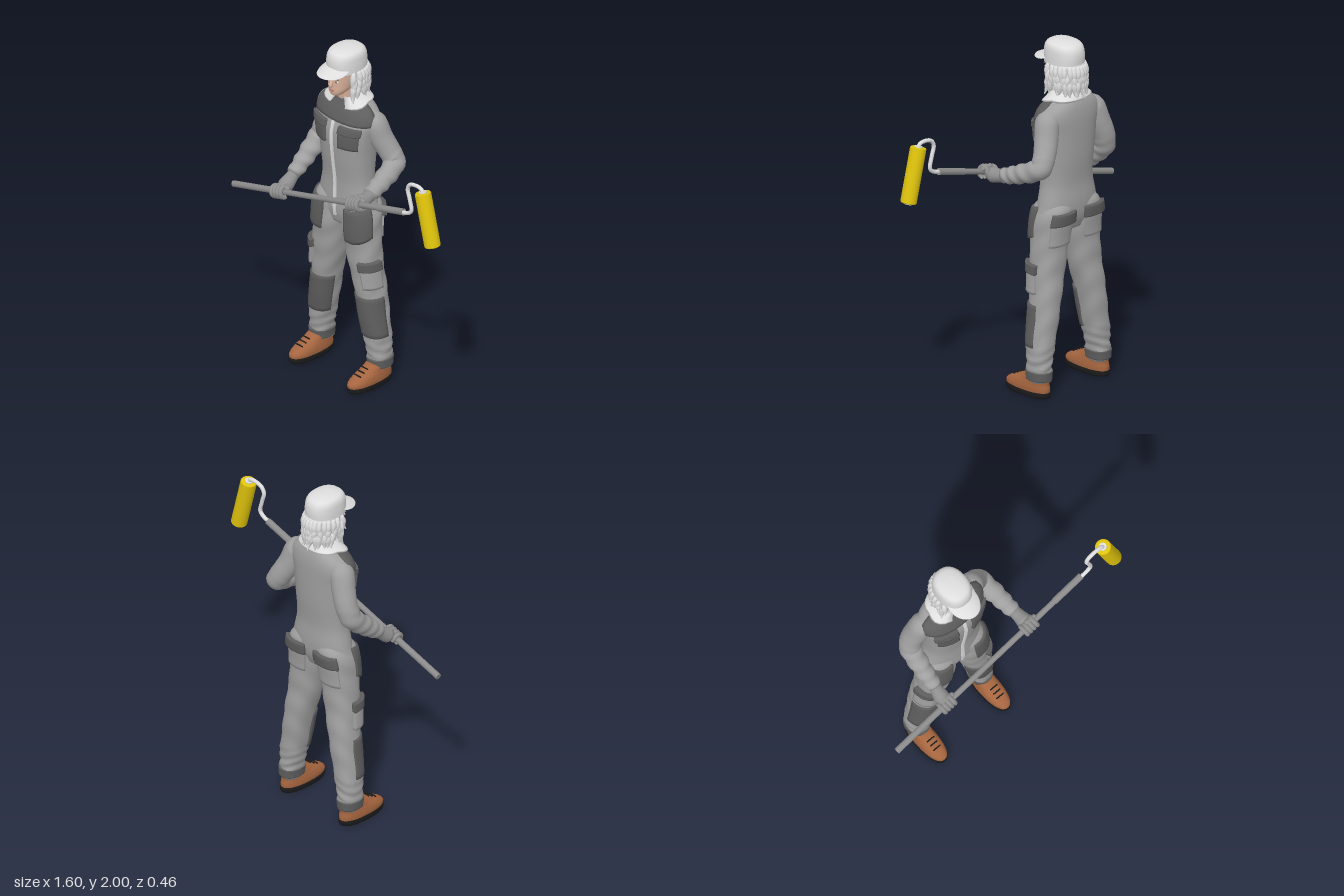
import * as THREE from 'three';
import { mergeVertices } from 'three/addons/utils/BufferGeometryUtils.js';

const C = -0.18; // centre line of the worker
const TAU = Math.PI * 2, F = Math.PI / 2; // F = angle of the front
const std = (name, color) => Object.assign(new THREE.MeshStandardMaterial({ color, side: THREE.DoubleSide }), { name });
const M = {
  suit: std('suit grey', 0xa0a0a0), panel: std('panel dark grey', 0x5e5e5e), white: std('white', 0xdedede),
  skin: std('skin', 0xd9b09a), boot: std('boot leather', 0xa5653f), sole: std('sole black', 0x1b1b1b),
  pole: std('pole grey', 0x8a8a8a), yellow: std('roller yellow', 0xe0c40c), glove: std('glove grey', 0x8e8e8e),
  lip: std('lips', 0xb67a6c),
};

export function createModel() {
  const model = new THREE.Group();
  model.name = 'painter';
  const add = (name, geo, mat, parent = model) => {
    const m = new THREE.Mesh(geo, mat);
    m.name = name;
    parent.add(m);
    return m;
  };
  const clamp = (v) => Math.min(1, Math.max(0, v));

  // Smooth grid surface from a point rule
  function grid(nu, nv, fn, flip) {
    const pos = [], idx = [];
    for (let j = 0; j <= nv; j++) for (let i = 0; i <= nu; i++) pos.push(...fn(i, j));
    for (let j = 0; j < nv; j++) for (let i = 0; i < nu; i++) {
      const a = j * (nu + 1) + i, b = a + nu + 1, c = a + 1, d = b + 1;
      idx.push(...(flip ? [a, c, b, c, d, b] : [a, b, c, c, b, d]));
    }
    const g = new THREE.BufferGeometry();
    g.setAttribute('position', new THREE.Float32BufferAttribute(pos, 3));
    g.setIndex(idx);
    const out = mergeVertices(g, 1e-5);
    out.computeVertexNormals();
    return out;
  }

  // Cross-section at height y from rows of [y, x offset, z, rx, rz]
  function section(rows, y) {
    let i = 1;
    while (i < rows.length - 1 && y > rows[i][0]) i++;
    const p = rows[i - 1], q = rows[i], o = rows[Math.max(0, i - 2)], r = rows[Math.min(rows.length - 1, i + 1)];
    const h = q[0] - p[0], t = (y - p[0]) / h, t2 = t * t, t3 = t2 * t;
    return [1, 2, 3, 4].map((k) => p[k] * (2 * t3 - 3 * t2 + 1) + q[k] * (3 * t2 - 2 * t3)
      + h * (t3 - 2 * t2 + t) * (q[k] - o[k]) / (q[0] - o[0]) + h * (t3 - t2) * (r[k] - p[k]) / (r[0] - p[0]));
  }
  function point(rows, y, a, off, s, k = 1) {
    const [cx, cz, rx, rz] = section(rows, y), c = Math.cos(a), n = Math.sin(a);
    const e = (v) => Math.sign(v) * Math.abs(v) ** 0.87;
    return [C + s * (cx + k * (rx + off) * e(c)), y, cz + k * (rz + off) * e(n)];
  }
  // Closed body lofted through the rows
  function loft(rows, s = 1, wrinkle = () => 0, nv = 44) {
    const y0 = rows[0][0], y1 = rows[rows.length - 1][0];
    return grid(36, nv, (i, j) => {
      const y = y0 + (y1 - y0) * clamp((j - 1) / (nv - 2)), a = (i % 36) / 36 * TAU;
      return point(rows, y, a, wrinkle(y, a), s, j === 0 || j === nv ? 0 : 1);
    }, s < 0);
  }
  // Raised panel that follows a lofted body; y limits may depend on the angle
  function patch(rows, a0, a1, lo, hi, off, s = 1, lift = 0) {
    const nu = 24, nv = 12, f = (v, a) => (typeof v === 'function' ? v(a) : v);
    return grid(nu, nv, (i, j) => {
      const a = a0 + (a1 - a0) * clamp((i - 1) / (nu - 2));
      const y = f(lo, a) + (f(hi, a) - f(lo, a)) * clamp((j - 1) / (nv - 2));
      const o = i === 0 || j === 0 || i === nu || j === nv ? -0.006 : off;
      const p = point(rows, y, a, o, s);
      p[1] += o * lift;
      return p;
    }, s < 0);
  }
  // Limb with changing radius through [x, y, z, r]
  function limb(pts, nu = 20, nv = 30, wrinkle = () => 0) {
    const curve = new THREE.CatmullRomCurve3(pts.map((p) => new THREE.Vector3(p[0], p[1], p[2])));
    const n = pts.length - 1;
    return grid(nu, nv, (i, j) => {
      const t = clamp((j - 1) / (nv - 2)), k = Math.min(n - 1, Math.floor(t * n)), a = (i % nu) / nu * TAU;
      const r = j === 0 || j === nv ? 0 : THREE.MathUtils.lerp(pts[k][3], pts[k + 1][3], t * n - k) + wrinkle(t, a);
      const T = curve.getTangent(t), N = new THREE.Vector3(1, 0, 0).addScaledVector(T, -T.x).normalize();
      const B = N.clone().cross(T);
      return curve.getPoint(t).addScaledVector(N, r * Math.cos(a)).addScaledVector(B, r * Math.sin(a)).toArray();
    });
  }
  const blob = (name, mat, x, y, z, sx, sy, sz) => {
    const m = add(name, new THREE.SphereGeometry(1, 20, 14), mat);
    m.position.set(C + x, y, z);
    m.scale.set(sx, sy, sz);
    return m;
  };

  // Torso with yoke, zip, collar and chest pockets
  const torso = [[0.93, 0, -0.075, 0.13, 0.08], [1.0, 0, -0.08, 0.2, 0.1], [1.08, 0, -0.085, 0.19, 0.103], [1.2, 0, -0.083, 0.166, 0.1],
    [1.35, 0, -0.08, 0.172, 0.115], [1.5, 0, -0.078, 0.19, 0.122], [1.58, 0, -0.088, 0.203, 0.112], [1.63, 0, -0.095, 0.185, 0.1],
    [1.66, 0, -0.1, 0.145, 0.088], [1.69, 0, -0.1, 0.095, 0.075], [1.72, 0, -0.095, 0.062, 0.06]];
  add('torso', loft(torso, 1, undefined, 60), M.suit);
  add('yoke', patch(torso, 0.02, Math.PI - 0.02, 1.57, 1.7, 0.008, 1, 0.6), M.panel);
  add('zip', patch(torso, F - 0.03, F + 0.03, 0.98, 1.63, 0.009), M.white);
  const front = (a) => Math.max(0, Math.sin(a));
  add('collar', patch(torso, F + 0.3, F + TAU - 0.3, (a) => 1.675 - 0.03 * front(a), (a) => 1.722 - 0.02 * front(a), 0.017, 1, 0.7), M.white);
  for (const s of [1, -1]) {
    add('chestPocket', patch(torso, 0.62, 1.36, 1.43, 1.55, 0.014, s), M.panel);
    add('chestPocketFlap', patch(torso, 0.6, 1.38, 1.52, 1.56, 0.02, s), M.panel);
  }

  // Legs, pockets, knee patches, cuffs and boots
  const leg = [[0.09, 0.226, -0.1, 0.054, 0.068], [0.14, 0.225, -0.1, 0.057, 0.07], [0.2, 0.22, -0.098, 0.063, 0.074], [0.3, 0.207, -0.095, 0.072, 0.078],
    [0.4, 0.19, -0.092, 0.074, 0.085], [0.53, 0.17, -0.09, 0.079, 0.088], [0.7, 0.139, -0.078, 0.093, 0.09], [0.8, 0.126, -0.074, 0.098, 0.096],
    [0.9, 0.114, -0.072, 0.104, 0.103], [1.0, 0.106, -0.08, 0.106, 0.108], [1.06, 0.1, -0.085, 0.094, 0.104], [1.1, 0.09, -0.085, 0.075, 0.08]];
  const crease = (y, a) => 0.004 * Math.sin(y * 110 + 3 * Math.cos(a)) * clamp((0.32 - y) * 8) + 0.002 * Math.sin(y * 40 + 4 * Math.sin(a));
  const boot = [[0.02, 0.226, -0.02, 0.057, 0.15], [0.05, 0.226, -0.02, 0.059, 0.15], [0.075, 0.226, -0.035, 0.056, 0.13],
    [0.095, 0.226, -0.06, 0.052, 0.105], [0.12, 0.226, -0.085, 0.05, 0.078], [0.14, 0.226, -0.095, 0.046, 0.062]];
  const sole = [[0, 0.226, -0.02, 0.057, 0.148], [0.012, 0.226, -0.02, 0.061, 0.155], [0.032, 0.226, -0.02, 0.061, 0.155]];
  for (const s of [1, -1]) {
    add('trouserLeg', loft(leg, s, crease, 70), M.suit);
    add('hipPocket', patch(leg, 0.2, 1.75, (a) => 0.91 - 0.05 * Math.sin(a), (a) => 1.08 - 0.03 * front(a), 0.012, s), M.panel);
    add('cargoPocket', patch(leg, -0.05, 1.15, 0.59, 0.72, 0.018, s), M.suit);
    add('cargoFlap', patch(leg, -0.1, 1.2, 0.7, 0.75, 0.025, s), M.panel);
    add('kneePatch', patch(leg, -0.1, Math.PI - 0.2, 0.29, 0.525, 0.007, s), M.panel);
    add('backPocket', patch(leg, -2.1, -0.75, 0.86, 1.0, 0.008, s), M.suit);
    add('backPocketFlap', patch(leg, -2.15, -0.7, 0.985, 1.05, 0.022, s), M.panel);
    add('cuff', patch(leg, 0, TAU, 0.1, 0.15, 0.007, s), M.panel);
    add('boot', loft(boot, s), M.boot);
    add('sole', loft(sole, s, undefined, 10), M.sole);
    for (let i = 0; i < 3; i++) {
      const lace = add('lace', new THREE.CapsuleGeometry(0.004, 0.045, 4, 8).rotateZ(F), M.sole);
      lace.position.set(C + s * 0.226, 0.088 + i * 0.014, 0.068 - i * 0.026);
    }
  }

  // Sleeves
  const fold = (t, a) => 0.004 * Math.sin(t * 55 + 2 * Math.sin(a)) * clamp((t - 0.4) * 4);
  add('leftSleeve', limb([[-0.05, 1.61, -0.1, 0.045], [-0.01, 1.575, -0.11, 0.068], [0.02, 1.49, -0.13, 0.066], [0.06, 1.41, -0.155, 0.062], [0.095, 1.35, -0.16, 0.06],
    [0.12, 1.305, -0.07, 0.055], [0.133, 1.275, 0.01, 0.048], [0.142, 1.255, 0.075, 0.04]], 20, 48, fold), M.suit);
  add('rightSleeve', limb([[-0.31, 1.61, -0.1, 0.045], [-0.35, 1.575, -0.11, 0.068], [-0.38, 1.49, -0.125, 0.066], [-0.41, 1.41, -0.135, 0.062], [-0.432, 1.33, -0.12, 0.06],
    [-0.437, 1.26, -0.05, 0.055], [-0.438, 1.2, 0.02, 0.048], [-0.437, 1.15, 0.085, 0.039]], 20, 48, fold), M.suit);
  add('leftPalm', limb([[0.14, 1.26, 0.05, 0.032], [0.147, 1.25, 0.1, 0.037], [0.15, 1.245, 0.14, 0.044], [0.15, 1.245, 0.17, 0.034]]), M.glove);
  add('rightPalm', limb([[-0.437, 1.17, 0.06, 0.03], [-0.437, 1.135, 0.1, 0.036], [-0.438, 1.105, 0.14, 0.044], [-0.438, 1.09, 0.17, 0.034]]), M.glove);

  // Long pole with gripping fingers, running along its own x
  const pole = new THREE.Group();
  pole.name = 'pole';
  pole.position.set(-0.795, 0.98, 0.185);
  pole.rotation.z = Math.atan2(0.378, 1.32);
  model.add(pole);
  const L = 1.373;
  add('poleShaft', new THREE.CylinderGeometry(0.016, 0.016, L, 20).rotateZ(F).translate(L / 2, 0, 0), M.pole, pole);
  add('poleGrip', new THREE.CylinderGeometry(0.018, 0.018, 0.34, 20).rotateZ(F).translate(0.17, 0, 0), M.pole, pole);
  add('poleSocket', new THREE.CylinderGeometry(0.019, 0.019, 0.2, 20).rotateZ(F).translate(L - 0.1, 0, 0), M.pole, pole);
  for (const at of [0.372, 0.983]) {
    for (let i = 0; i < 4; i++) add('finger', new THREE.TorusGeometry(0.029, 0.0135, 10, 24, 4.7).rotateY(F).translate(at + (i - 1.5) * 0.024, 0, 0), M.glove, pole);
    add('thumb', new THREE.CapsuleGeometry(0.014, 0.05, 6, 12).rotateZ(1.2).translate(at + 0.03, 0.026, -0.012), M.glove, pole);
  }

  // Bent wire frame and roller
  const wire = new THREE.CatmullRomCurve3([[0.5, 1.35], [0.565, 1.37], [0.588, 1.395], [0.575, 1.46], [0.56, 1.52], [0.58, 1.553], [0.645, 1.565], [0.67, 1.555], [0.678, 1.53]]
    .map(([x, y]) => new THREE.Vector3(x, y, 0.188)));
  add('rollerWire', new THREE.TubeGeometry(wire, 60, 0.0115, 10), M.white);
  const roller = new THREE.Group();
  roller.name = 'roller';
  roller.position.set(0.715, 1.392, 0.188);
  roller.rotation.z = Math.atan2(0.08, 0.315);
  model.add(roller);
  add('rollerSleeve', new THREE.LatheGeometry([[0.02, -0.156], [0.041, -0.156], [0.045, -0.15], [0.045, 0.15], [0.041, 0.156], [0.02, 0.156]]
    .map(([x, y]) => new THREE.Vector2(x, y)), 28), M.yellow, roller);
  add('rollerCore', new THREE.CylinderGeometry(0.022, 0.022, 0.326, 20), M.white, roller);

  // Neck, head and face
  add('neck', loft([[1.6, 0, -0.09, 0.055, 0.06], [1.7, 0, -0.07, 0.05, 0.055], [1.8, 0, -0.06, 0.05, 0.06]], 1, undefined, 12), M.skin);
  add('head', loft([[1.728, 0, 0.01, 0.018, 0.022], [1.738, 0, 0, 0.035, 0.042], [1.765, 0, -0.02, 0.056, 0.066], [1.8, 0, -0.045, 0.068, 0.091],
    [1.85, 0, -0.058, 0.077, 0.103], [1.9, 0, -0.06, 0.078, 0.104], [1.95, 0, -0.06, 0.06, 0.08]]), M.skin);
  add('nose', limb([[C, 1.838, 0.04, 0.006], [C, 1.815, 0.047, 0.009], [C, 1.798, 0.052, 0.0125], [C, 1.788, 0.047, 0.008]], 12, 14), M.skin);
  blob('upperLip', M.lip, 0, 1.769, 0.043, 0.022, 0.0045, 0.007);
  blob('lowerLip', M.lip, 0, 1.761, 0.042, 0.018, 0.005, 0.007);
  for (const s of [1, -1]) {
    blob('eye', M.white, s * 0.031, 1.825, 0.038, 0.013, 0.006, 0.006);
    blob('iris', M.sole, s * 0.031, 1.825, 0.042, 0.005, 0.005, 0.003);
    blob('eyebrow', M.panel, s * 0.032, 1.843, 0.04, 0.018, 0.0035, 0.005);
    blob('ear', M.skin, s * 0.078, 1.815, -0.05, 0.012, 0.03, 0.02);
  }

  // Shaggy hair below the cap
  const hair = [[1.75, 0, -0.09, 0.07, 0.085], [1.8, 0, -0.08, 0.082, 0.105], [1.88, 0, -0.07, 0.088, 0.115]];
  add('hairMass', patch(hair, Math.PI - 0.25, TAU + 0.25, 1.755, 1.88, 0.004), M.white);
  let seed = 7;
  const rnd = () => (seed = (seed * 16807) % 2147483647) / 2147483647;
  for (let ring = 0; ring < 3; ring++) for (let i = 0; i < 17; i++) {
    const a = Math.PI - 0.4 + (Math.PI + 0.8) * (i + 0.3 + 0.4 * rnd()) / 17, y = 1.875 - ring * 0.035;
    const lock = [[0.99, 0, 0.012], [1.08, 0.035, 0.018], [1.06, 0.07, 0.015], [1.1 + 0.14 * rnd(), 0.088 + 0.025 * rnd(), 0.002]];
    const twist = (rnd() - 0.5) * 0.4;
    add('hairLock', limb(lock.map(([k, d, r], n) => {
      const b = a + twist * n / 3;
      return [C + 0.09 * k * Math.cos(b), y - d, -0.072 + 0.118 * k * Math.sin(b), r];
    }), 8, 10), M.white);
  }

  // Cap with curved brim
  add('capCrown', loft([[1.868, 0, -0.068, 0.093, 0.116], [1.93, 0, -0.068, 0.092, 0.118], [1.97, 0, -0.067, 0.086, 0.108],
    [1.99, 0, -0.065, 0.068, 0.085], [2.0, 0, -0.062, 0.03, 0.04]]), M.white);
  const brim = new THREE.SphereGeometry(1, 32, 16).scale(0.088, 0.009, 0.105);
  const bp = brim.attributes.position;
  for (let i = 0; i < bp.count; i++) bp.setY(i, bp.getY(i) - 2.5 * bp.getX(i) ** 2);
  brim.computeVertexNormals();
  const brimMesh = add('capBrim', brim, M.white);
  brimMesh.position.set(C, 1.902, 0.028);
  brimMesh.rotation.x = 0.28;
  blob('capButton', M.white, 0, 1.997, -0.062, 0.009, 0.003, 0.009);

  return model;
}
